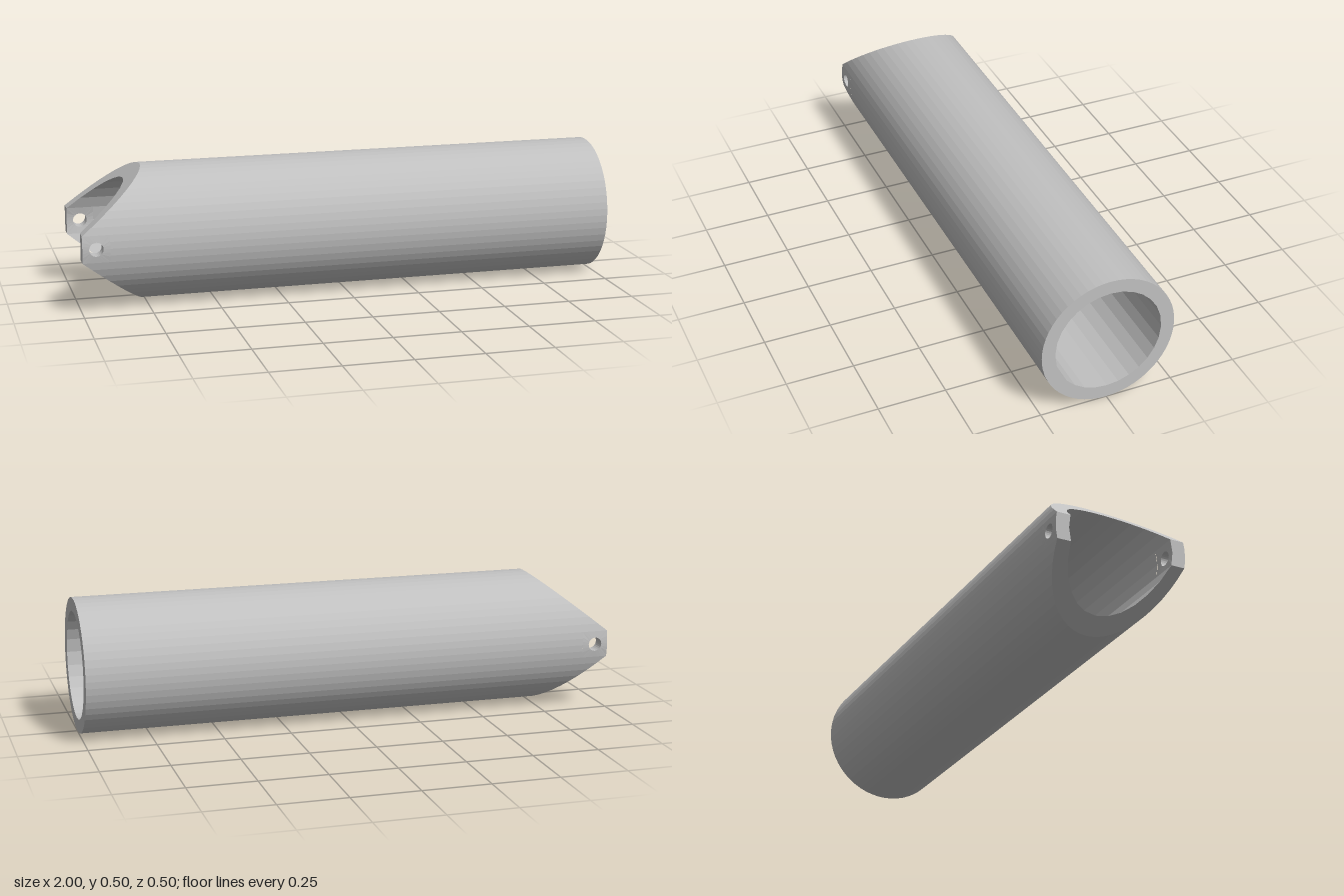
import * as THREE from 'three';

const OUTER = 0.25, INNER = 0.2;        // pipe radii
const TIP = 0.05;                       // half height of the blunt tip
const HOLE_X = -0.95, HOLE_R = 0.026;   // pin holes through the tips
const RIGHT = 1;

const steel = new THREE.MeshStandardMaterial({ color: 0xc0c0c0 });
steel.name = 'grey steel';

// x of the wedge-shaped left end at a height y from the axis
const cutX = (y) => -1 + Math.max(0, Math.abs(y) - TIP) * 1.25;

// Collects quads into one flat-shaded mesh
function builder(name) {
  const pos = [];
  return {
    quad(a, b, c, d, flip = false) {
      const q = flip ? [a, d, c, b] : [a, b, c, d];
      for (const i of [0, 1, 2, 0, 2, 3]) pos.push(...q[i]);
    },
    mesh() {
      const g = new THREE.BufferGeometry();
      g.setAttribute('position', new THREE.Float32BufferAttribute(pos, 3));
      g.computeVertexNormals();
      g.translate(0, OUTER, 0);
      const m = new THREE.Mesh(g, steel);
      m.name = name;
      return m;
    },
  };
}

// Closed ring of [y, z] points, with points exactly at the tip edges
function ring(r, tipSteps, sideSteps) {
  const a = Math.asin(TIP / r), pts = [];
  const arc = (from, to, n) => {
    for (let i = 0; i < n; i++) {
      const t = from + ((to - from) * i) / n;
      pts.push([r * Math.sin(t), r * Math.cos(t)]);
    }
  };
  arc(-a, a, tipSteps);
  arc(a, Math.PI - a, sideSteps);
  arc(Math.PI - a, Math.PI + a, tipSteps);
  arc(Math.PI + a, 2 * Math.PI - a, sideSteps);
  return pts;
}

// Halve each side without moving it off its facet
const halved = (pts) => pts.flatMap((p, i) => {
  const q = pts[(i + 1) % pts.length];
  return [p, [(p[0] + q[0]) / 2, (p[1] + q[1]) / 2]];
});

// Square tip patch around the pin hole: circle and square outline points
const HOLE_STEPS = 24;
function holePoint(i, r, side, square) {
  const t = (i / HOLE_STEPS) * Math.PI * 2, c = Math.cos(t), s = Math.sin(t);
  const k = square ? TIP / Math.max(Math.abs(c), Math.abs(s)) : HOLE_R;
  const y = k * s;
  return [HOLE_X + k * c, y, side * Math.sqrt(r * r - y * y)];
}

// Long wall of the pipe, inside or outside, with the drilled tips
function wall(name, pts, r, inward) {
  const b = builder(name);
  pts.forEach((p, i) => {
    const q = pts[(i + 1) % pts.length];
    const inTip = Math.abs(p[0] + q[0]) / 2 < TIP;
    const start = (y) => (inTip ? HOLE_X + TIP : cutX(y));
    b.quad([start(p[0]), ...p], [RIGHT, ...p], [RIGHT, ...q], [start(q[0]), ...q], inward);
  });
  for (const side of [1, -1]) {
    for (let i = 0; i < HOLE_STEPS; i++) {
      b.quad(holePoint(i, r, side, false), holePoint(i, r, side, true),
        holePoint(i + 1, r, side, true), holePoint(i + 1, r, side, false),
        inward !== (side < 0));
    }
  }
  return b.mesh();
}

// Ring-shaped face joining the two walls at one end
function endFace(name, outer, inner, xAt, flip) {
  const b = builder(name);
  const at = (p) => [xAt(p[0]), ...p];
  outer.forEach((p, i) => {
    const j = (i + 1) % outer.length;
    b.quad(at(outer[j]), at(p), at(inner[i]), at(inner[j]), flip);
  });
  return b.mesh();
}

// Bore of one pin hole
function pinHole(name, side) {
  const b = builder(name);
  for (let i = 0; i < HOLE_STEPS; i++) {
    b.quad(holePoint(i, OUTER, side, false), holePoint(i + 1, OUTER, side, false),
      holePoint(i + 1, INNER, side, false), holePoint(i, INNER, side, false), side < 0);
  }
  return b.mesh();
}

export function createModel() {
  const outer = ring(OUTER, 4, 24);
  const inner = halved(ring(INNER, 2, 12));
  const group = new THREE.Group();
  group.name = 'notchedPipe';
  group.add(
    wall('outerWall', outer, OUTER, false),
    wall('innerWall', inner, INNER, true),
    endFace('squareEnd', outer, inner, () => RIGHT, false),
    endFace('notchedEnd', outer, inner, cutX, true),
    pinHole('frontPinHole', 1),
    pinHole('backPinHole', -1),
  );
  return group;
}
